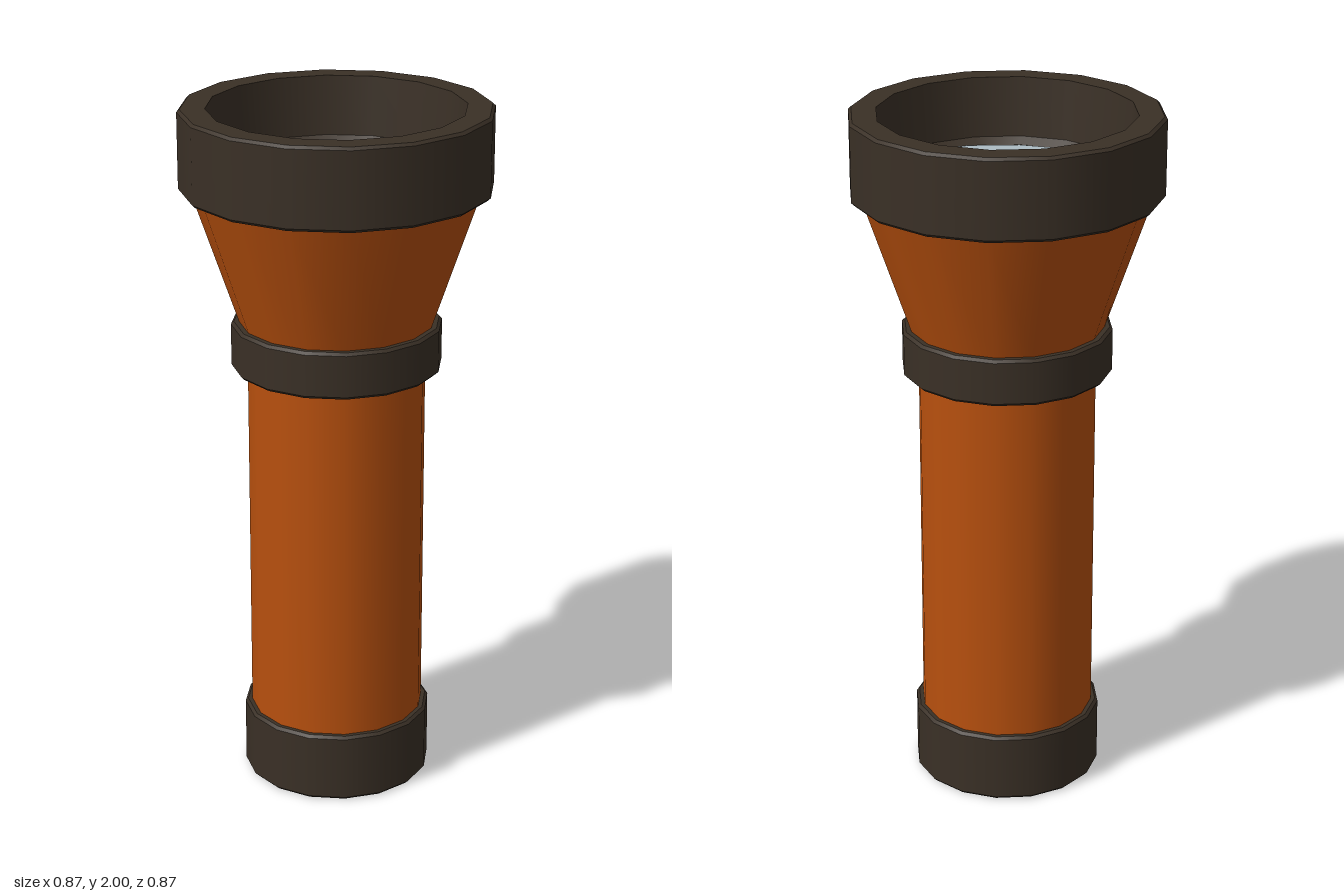
import * as THREE from 'three';
import { mergeGeometries } from 'three/addons/utils/BufferGeometryUtils.js';

const SIDES = 16;

// Turned part: each profile segment is its own band, so edges stay crisp
// while the sides shade smoothly around the axis.
function turned(name, profile, material) {
  const bands = [];
  for (let i = 0; i < profile.length - 1; i++) {
    const pair = [profile[i], profile[i + 1]].map(([r, y]) => new THREE.Vector2(r, y));
    bands.push(new THREE.LatheGeometry(pair, SIDES));
  }
  const mesh = new THREE.Mesh(mergeGeometries(bands), material);
  mesh.name = name;
  return mesh;
}

// Closed band with small bevels on its outer edges
function bandProfile(radius, bottom, top, bevel = 0.008) {
  return [
    [0, bottom], [radius - bevel, bottom], [radius, bottom + bevel],
    [radius, top - bevel], [radius - bevel, top], [0, top],
  ];
}

export function createModel() {
  const orange = new THREE.MeshStandardMaterial({ color: 0xb8500e });
  orange.name = 'orange';
  const rubber = new THREE.MeshStandardMaterial({ color: 0x3a3026 });
  rubber.name = 'darkRubber';
  const glass = new THREE.MeshStandardMaterial({ color: 0xadbcc4 });
  glass.name = 'paleGlass';

  const model = new THREE.Group();
  model.name = 'flashlight';

  // Handle and grips
  model.add(turned('tailCap', bandProfile(0.272, 0, 0.205), rubber));
  model.add(turned('handle', [[0.252, 0.19], [0.252, 1.27]], orange));
  model.add(turned('collar', bandProfile(0.298, 1.255, 1.39), rubber));

  // Flared head
  model.add(turned('headCone', [[0.272, 1.38], [0.408, 1.78]], orange));

  // Hollow bezel with a tapered well
  model.add(turned('bezel', [
    [0, 1.77], [0.429, 1.77], [0.437, 1.778], [0.437, 1.992], [0.429, 2],
    [0.36, 2], [0.345, 1.83], [0.325, 1.81], [0, 1.805],
  ], rubber));

  // Lens seated at the bottom of the well
  const outline = [];
  for (let quarter = 0; quarter < 4; quarter++) {
    for (const [degrees, r] of [[0, 0.325], [18, 0.318], [45, 0.307], [72, 0.318]]) {
      const a = THREE.MathUtils.degToRad(degrees + quarter * 90);
      outline.push(new THREE.Vector2(r * Math.cos(a), r * Math.sin(a)));
    }
  }
  const lens = new THREE.Mesh(new THREE.ShapeGeometry(new THREE.Shape(outline)), glass);
  lens.name = 'lens';
  lens.rotation.x = -Math.PI / 2;
  lens.position.y = 1.815;
  model.add(lens);

  return model;
}
